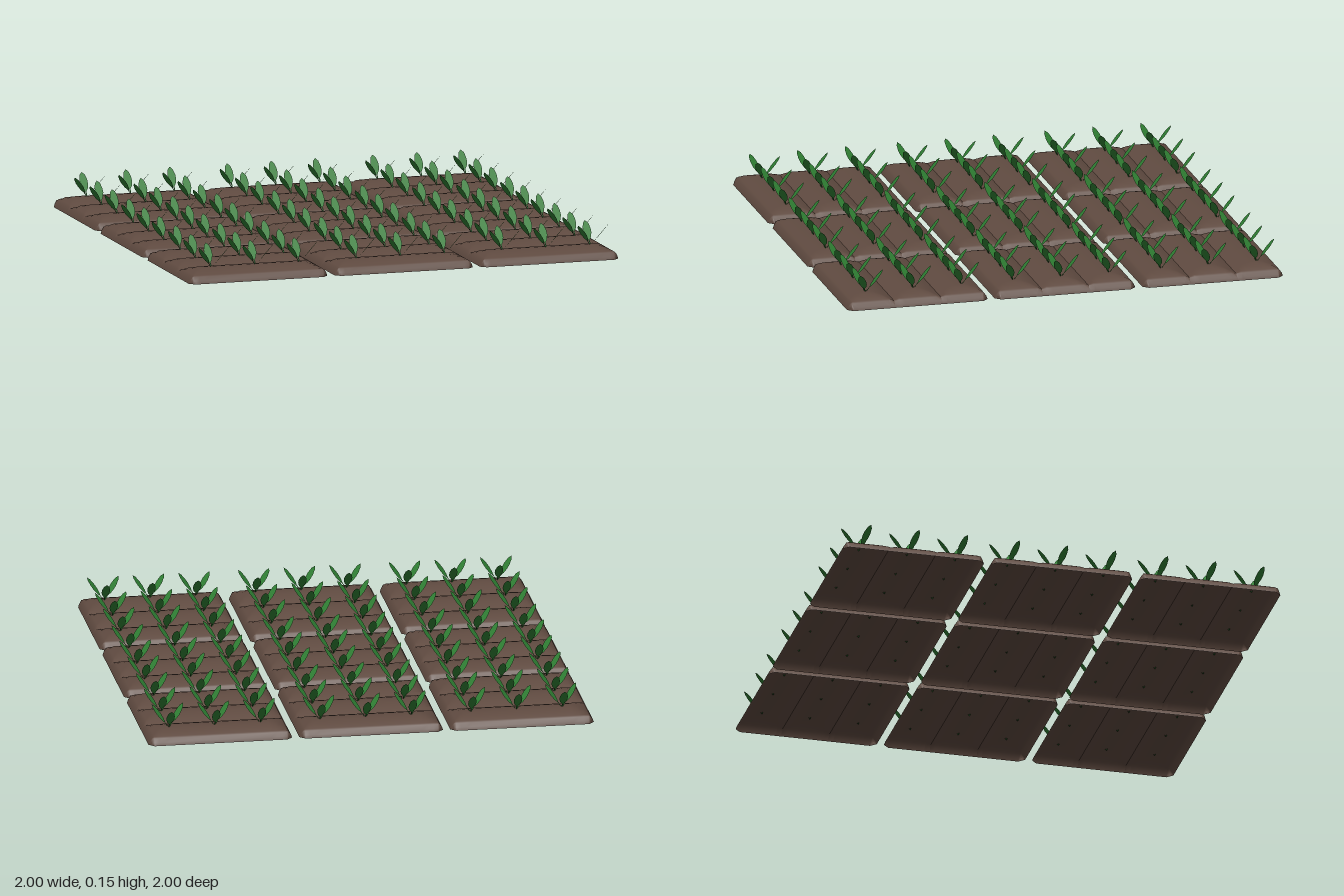
import * as THREE from 'three';

const HALF = 0.3225;   // half size of one soil plot
const PITCH = 0.6775;  // spacing between plots
const ROW = 0.215;     // spacing between soil ridges

const soil = new THREE.MeshStandardMaterial({ color: 0x5f4a40, side: THREE.DoubleSide });
soil.name = 'soilBrown';
const leafGreen = new THREE.MeshStandardMaterial({ color: 0x2e7d32, side: THREE.DoubleSide });
leafGreen.name = 'leafGreen';

// Rounded fall-off along the plot edge: [inset, height]
const EDGE = [[0, 0], [0.005, 0.014], [0.016, 0.03], [0.025, 0.036], [0.045, 0.046], [0.07, 0.053], [0.095, 0.057]];
// Ridge cross-section: [distance from crest, height]
const RIDGE = [[0, 0.057], [0.03, 0.0545], [0.06, 0.047], [0.085, 0.037], [0.1075, 0.027]];

function sample(table, v) {
  for (let i = 1; i < table.length; i++) {
    const [a, ya] = table[i - 1], [b, yb] = table[i];
    if (v <= b) return ya + (yb - ya) * (v - a) / (b - a);
  }
  return table[table.length - 1][1];
}

// One ridge as an open height grid; row is -1, 0 or 1
function ridgeGeometry(row) {
  const ends = EDGE.map(([inset]) => HALF - inset);
  const xs = [...ends.map(v => -v), 0, ...[...ends].reverse()];
  const offsets = RIDGE.map(([d]) => d);
  if (row) offsets.push(0.0825, 0.0915, 0.1025);
  offsets.sort((a, b) => a - b);
  const zs = [...[...offsets].reverse().map(d => -d), ...offsets.slice(1)].map(d => d + row * ROW);
  const pos = [], index = [];
  for (const z of zs) for (const x of xs) {
    const inset = Math.min(HALF - Math.abs(x), HALF - Math.abs(z));
    const y = Math.min(sample(RIDGE, Math.abs(z - row * ROW)), sample(EDGE, Math.max(0, inset)));
    // Cut the plot corners
    const cut = Math.max(0, Math.abs(x) + Math.abs(z) - 0.62) / 2;
    pos.push(x - Math.sign(x) * cut, y, z - Math.sign(z) * cut);
  }
  const n = xs.length;
  for (let j = 0; j < zs.length - 1; j++) for (let i = 0; i < n - 1; i++) {
    const a = j * n + i, b = a + 1, c = a + n, d = c + 1;
    index.push(a, c, b, b, c, d);
  }
  const g = new THREE.BufferGeometry();
  g.setAttribute('position', new THREE.Float32BufferAttribute(pos, 3));
  g.setIndex(index);
  g.computeVertexNormals();
  return g;
}

// Flat leaf on a thin stalk, leaning backwards from its base
function leafGeometry() {
  const side = [[0.002, 0], [0.003, 0.03], [0.012, 0.045], [0.018, 0.068], [0.018, 0.09], [0.012, 0.115]];
  const outline = [...side, [0, 0.129], ...[...side].reverse().map(([x, y]) => [-x, y])];
  const shape = new THREE.Shape(outline.map(([x, y]) => new THREE.Vector2(x, y)));
  return new THREE.ShapeGeometry(shape).rotateX(-0.68);
}

export function createModel() {
  const field = new THREE.Group();
  field.name = 'cropField';
  const ridges = [-1, 0, 1].map(ridgeGeometry);
  const leaf = leafGeometry();

  for (const px of [-1, 0, 1]) for (const pz of [-1, 0, 1]) {
    const plot = new THREE.Group();
    plot.name = 'plot';
    plot.position.set(px * PITCH, 0, pz * PITCH);
    field.add(plot);

    ridges.forEach((geometry, r) => {
      const ridge = new THREE.Mesh(geometry, soil);
      ridge.name = 'soilRidge';
      plot.add(ridge);

      // Three seedlings on each ridge
      for (const k of [-1, 0, 1]) {
        const seedling = new THREE.Group();
        seedling.name = 'seedling';
        seedling.position.set(0.014 + k * 0.205, 0.05, (r - 1) * 0.22 - 0.003);
        for (let i = 0; i < 3; i++) {
          const blade = new THREE.Mesh(leaf, leafGreen);
          blade.name = 'leaf';
          blade.rotation.y = i * Math.PI * 2 / 3;
          seedling.add(blade);
        }
        plot.add(seedling);
      }
    });
  }
  return field;
}
